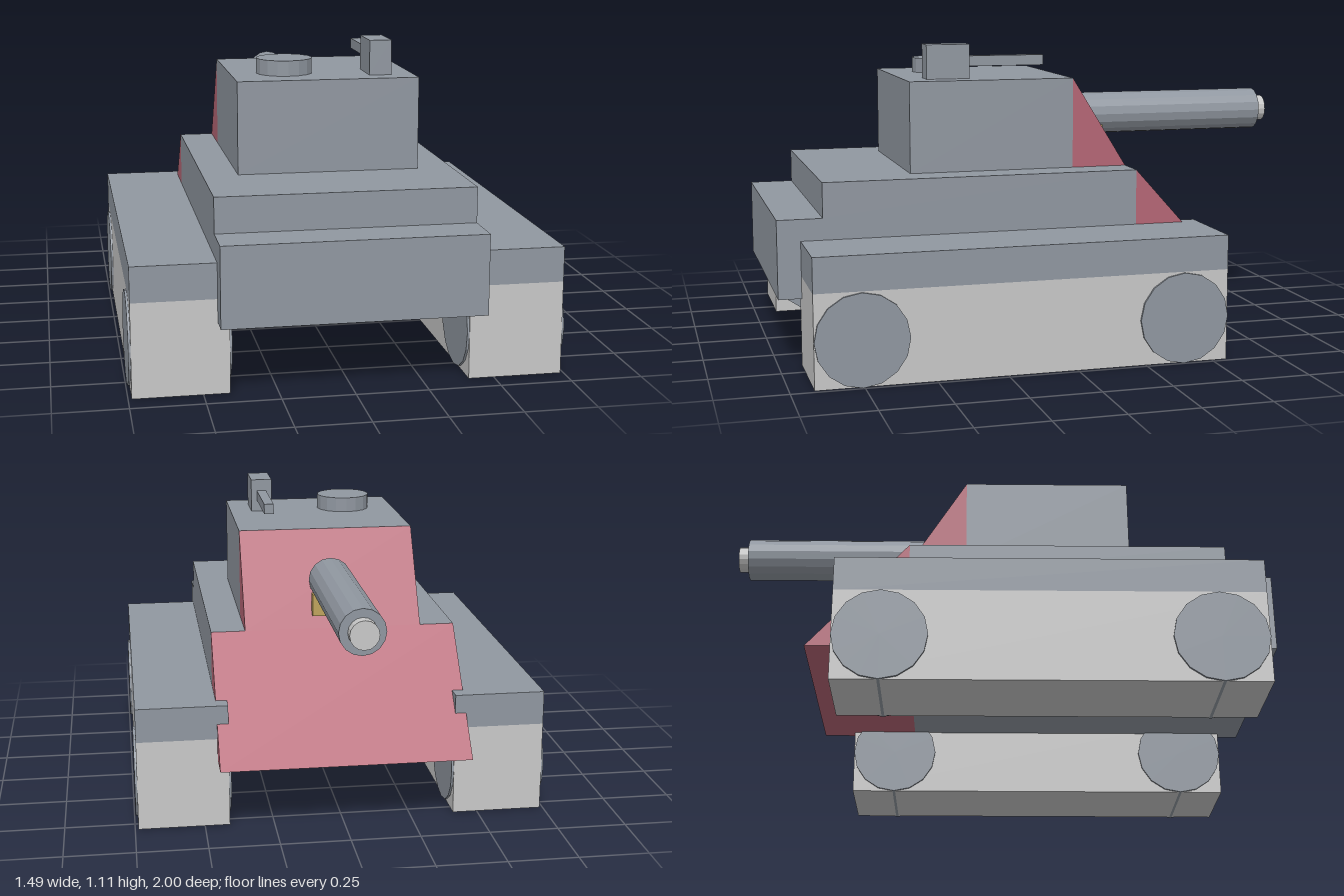
import * as THREE from 'three';

export function createModel() {
  const model = new THREE.Group();
  model.name = 'tank';

  const paint = (name, color) => {
    const m = new THREE.MeshStandardMaterial({ color, flatShading: true });
    m.name = name;
    return m;
  };
  const grey = paint('steelGrey', 0x9097a0);
  const pale = paint('paleGrey', 0xc8c8c8);
  const red = paint('armourRed', 0xb56675);
  const brass = paint('brass', 0xbfa45c);

  const add = (name, geometry, material) => {
    const mesh = new THREE.Mesh(geometry, material);
    mesh.name = name;
    model.add(mesh);
    return mesh;
  };
  // Box given by its limits on each axis
  const box = (name, material, [x0, x1], [y0, y1], [z0, z1]) =>
    add(name, new THREE.BoxGeometry(x1 - x0, y1 - y0, z1 - z0), material)
      .position.set((x0 + x1) / 2, (y0 + y1) / 2, (z0 + z1) / 2);
  // Prism from a (z, y) outline, centred across x
  const prism = (name, material, halfWidth, outline) => {
    const shape = new THREE.Shape(outline.map(([z, y]) => new THREE.Vector2(-z, y)));
    const g = new THREE.ExtrudeGeometry(shape, { depth: 2 * halfWidth, bevelEnabled: false });
    g.translate(0, 0, -halfWidth).rotateY(Math.PI / 2);
    add(name, g, material);
  };
  // Cylinder lying along z
  const tubeZ = (name, material, r, y, z0, z1) =>
    add(name, new THREE.CylinderGeometry(r, r, z1 - z0, 16).rotateX(Math.PI / 2), material)
      .position.set(0, y, (z0 + z1) / 2);

  // Hull and sloped nose plate
  box('lowerHull', grey, [-0.45, 0.45], [0.25, 0.53], [-0.31, 1]);
  box('upperHull', grey, [-0.45, 0.45], [0.53, 0.655], [-0.31, 0.84]);
  prism('nosePlate', red, 0.45, [[-0.31, 0.25], [-0.675, 0.25], [-0.31, 0.655]]);

  // Turret and its sloped face
  box('turret', grey, [-0.325, 0.325], [0.655, 0.985], [-0.105, 0.505]);
  prism('turretFace', red, 0.325, [[-0.105, 0.655], [-0.31, 0.655], [-0.105, 0.985]]);

  // Main gun
  tubeZ('gunBarrel', grey, 0.08, 0.82, -0.96, -0.23);
  tubeZ('gunMuzzle', pale, 0.05, 0.82, -1, -0.95);
  box('gunBracket', brass, [-0.075, 0.075], [0.70, 0.78], [-0.305, -0.265]);

  // Hatch and roof gun
  add('hatch', new THREE.CylinderGeometry(0.102, 0.102, 0.055, 16), grey)
    .position.set(-0.127, 1.0125, 0.302);
  box('roofGunBody', grey, [0.163, 0.243], [0.985, 1.11], [0.265, 0.425]);
  box('roofGunBarrel', grey, [0.185, 0.221], [1.028, 1.066], [-0.02, 0.265]);

  // Tracks, fenders and wheels on both sides
  for (const [side, s] of [['left', 1], ['right', -1]]) {
    const span = s > 0 ? [0.41, 0.738] : [-0.738, -0.41];
    box(side + 'Track', pale, span, [0.002, 0.33], [-0.553, 0.918]);
    box(side + 'Fender', grey, span, [0.33, 0.453], [-0.553, 0.918]);
    for (const [end, z] of [['Front', 0.755], ['Rear', -0.39]]) {
      const g = new THREE.CylinderGeometry(0.163, 0.163, 0.344, 16).rotateZ(Math.PI / 2);
      add(side + end + 'Wheel', g, grey).position.set(s * 0.574, 0.164, z);
    }
  }
  return model;
}
